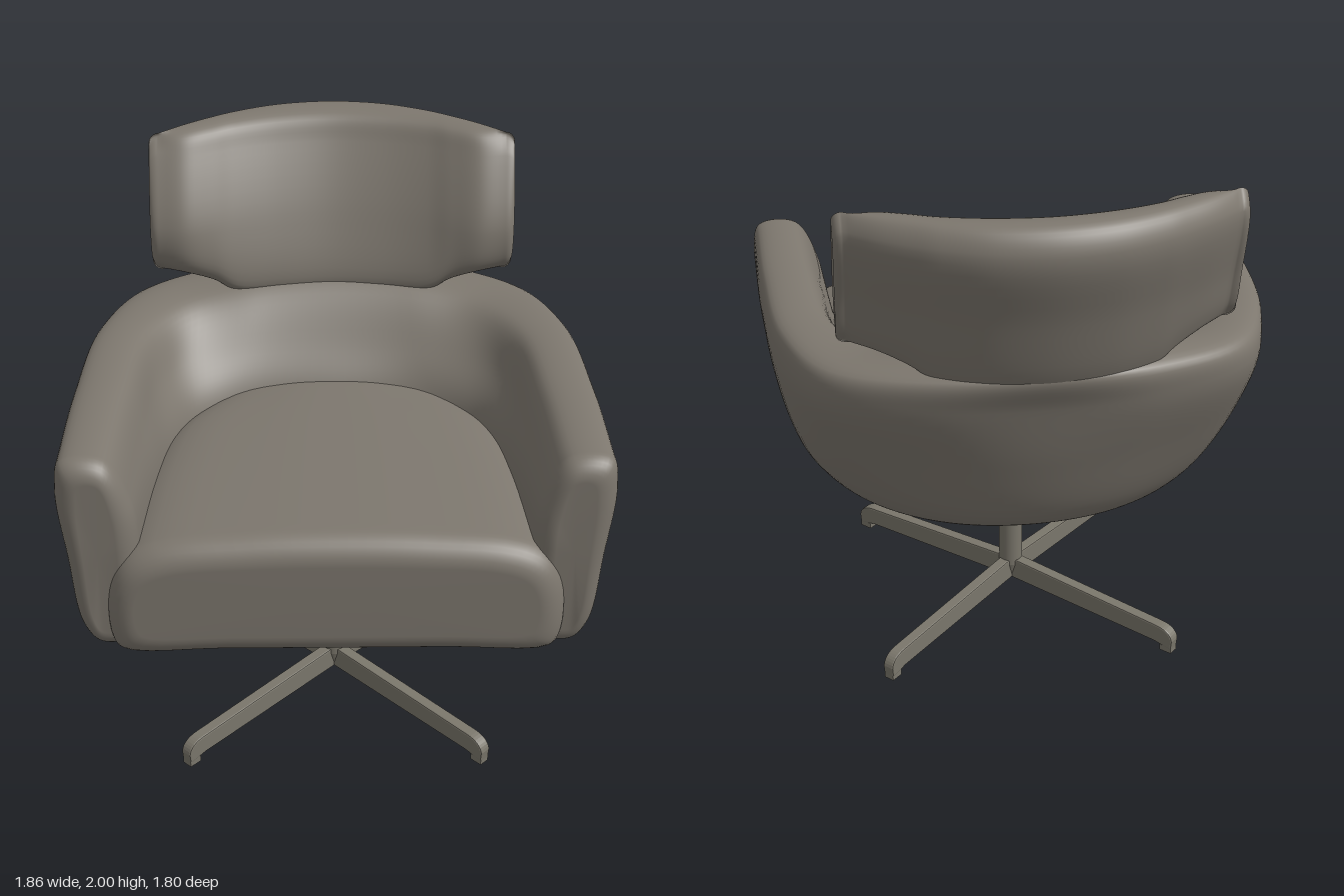
import * as THREE from 'three';

const V = (x, y, z) => new THREE.Vector3(x, y, z);
const AXES = ['x', 'y', 'z'];

// Extra rings that round off the end of a loft along direction dir
function roundEnd(ring, dir, r) {
  const box = new THREE.Box3().setFromPoints(ring);
  const c = box.getCenter(V(0, 0, 0));
  const h = box.getSize(V(0, 0, 0)).multiplyScalar(0.5);
  const rings = [];
  for (let i = 1; i <= 8; i++) {
    const a = (i / 8) * Math.PI / 2;
    rings.push(ring.map(p => {
      const q = p.clone();
      for (const k of AXES) {
        if (dir[k] === 0) q[k] = c[k] + (p[k] - c[k]) * (h[k] - r * (1 - Math.cos(a))) / h[k];
      }
      return q.addScaledVector(dir, r * Math.sin(a));
    }));
  }
  return rings;
}

// Smooth closed surface through lengthwise guide lines, with rounded, capped ends
function loft(guides, nU, nV, r, startDir, endDir) {
  const curves = guides.map(g => new THREE.CatmullRomCurve3(g));
  let rings = [];
  for (let i = 0; i <= nU; i++) {
    const section = new THREE.CatmullRomCurve3(curves.map(c => c.getPoint(i / nU)), true);
    rings.push(Array.from({ length: nV }, (_, j) => section.getPoint(j / nV)));
  }
  rings = [
    ...roundEnd(rings[0], startDir, r).reverse(),
    ...rings,
    ...roundEnd(rings[nU], endDir, r),
  ];
  const pts = rings.flat();
  const index = [];
  const last = rings.length - 1;
  for (let i = 0; i < last; i++) {
    for (let j = 0; j < nV; j++) {
      const k = (j + 1) % nV;
      const a = i * nV + j, b = i * nV + k, c = a + nV, d = b + nV;
      index.push(a, b, c, b, d, c);
    }
  }
  for (const [row, flip] of [[0, false], [last, true]]) {
    const mid = rings[row].reduce((s, p) => s.add(p), V(0, 0, 0)).divideScalar(nV);
    const m = pts.push(mid) - 1;
    for (let j = 0; j < nV; j++) {
      const a = row * nV + j, b = row * nV + (j + 1) % nV;
      index.push(m, ...(flip ? [a, b] : [b, a]));
    }
  }
  // Turn the faces outward if the enclosed volume is negative
  let volume = 0;
  for (let i = 0; i < index.length; i += 3) {
    const [a, b, c] = [pts[index[i]], pts[index[i + 1]], pts[index[i + 2]]];
    volume += a.dot(b.clone().cross(c));
  }
  if (volume < 0) index.reverse();
  const geo = new THREE.BufferGeometry().setFromPoints(pts);
  geo.setIndex(index);
  geo.computeVertexNormals();
  return geo;
}

// Half plan line (back centre to arm front) mirrored to a full U
function mirrored(half) {
  return [...half.slice(1).reverse().map(([x, z]) => [-x, z]), ...half];
}

// Shell lines: height, then x, z from the back centre to the arm front
const BOTTOM = [[0, -0.40], [0.29, -0.35], [0.52, -0.2], [0.685, 0.05], [0.775, 0.4], [0.81, 0.75]];
const SHELL = [
  [0.637, BOTTOM],
  [0.72, [[0, -0.50], [0.33, -0.44], [0.58, -0.28], [0.75, -0.01], [0.83, 0.38], [0.87, 0.76]]],
  [1.0, [[0, -0.62], [0.39, -0.56], [0.68, -0.41], [0.835, -0.14], [0.89, 0.33], [0.905, 0.77]]],
  [1.27, [[0, -0.70], [0.41, -0.66], [0.74, -0.5], [0.875, -0.19], [0.92, 0.3], [0.93, 0.77]]],
  [1.373, [[0, -0.74], [0.38, -0.67], [0.71, -0.5], [0.85, -0.19], [0.895, 0.3], [0.905, 0.77]]],
  [1.373, [[0, -0.48], [0.3, -0.45], [0.55, -0.36], [0.69, -0.14], [0.74, 0.3], [0.76, 0.77]]],
  [1.22, [[0, -0.30], [0.31, -0.27], [0.53, -0.18], [0.63, -0.02], [0.665, 0.33], [0.68, 0.77]]],
  [1.06, [[0, -0.19], [0.34, -0.165], [0.5, -0.06], [0.585, 0.1], [0.63, 0.38], [0.66, 0.77]]],
  [0.66, [[0, -0.15], [0.28, -0.13], [0.46, -0.05], [0.57, 0.1], [0.66, 0.4], [0.69, 0.75]]],
];

function shellGeometry() {
  // The top rim rises a little toward the headrest
  const rise = (x, y) => y > 1.3 ? 0.04 * Math.exp(-((x / 0.4) ** 4)) : 0;
  const guides = SHELL.map(([y, half]) => mirrored(half).map(([x, z]) => V(x, y + rise(x, y), z)));
  return loft(guides, 80, 72, 0.075, V(0, 0, 1), V(0, 0, 1));
}

// Seat cushion: domed section, widening toward the front
function cushionGeometry() {
  const half = [[0.5, 0.645], [0.96, 0.648], [1, 0.7], [1, 0.9], [0.94, 1.01], [0.8, 1.072], [0.4, 1.105]];
  const section = [...half, [0, 1.113], ...half.map(([x, y]) => [-x, y]).reverse()];
  const stations = [[-0.2, 0.48], [0, 0.64], [0.3, 0.72], [0.6, 0.755], [0.8, 0.77]];
  const guides = section.map(([s, y]) => stations.map(([z, w]) => V(s * w, y, z)));
  return loft(guides, 24, 72, 0.095, V(0, 0, -1), V(0, 0, 1));
}

// Headrest: curved pad whose middle runs down into the shell as a neck
function headrestGeometry() {
  // x, back shift, front shift, bottom height
  const half = [[0, 0, 0, 1.36], [0.2, 0.025, 0.015, 1.36], [0.36, 0.085, 0.045, 1.37],
    [0.45, 0.135, 0.075, 1.425], [0.55, 0.2, 0.095, 1.46], [0.65, 0.28, 0.065, 1.468]];
  const full = [...half.slice(1).reverse().map(([x, ...s]) => [-x, ...s]), ...half];
  const sections = full.map(([x, b, f, yb]) => {
    const t2 = (x / 0.65) ** 2;
    const top = 1.997 - 0.02 * t2;
    const back = y => -0.735 + b - 0.3 * (y - 1.36);
    const front = y => -0.47 + f - (0.46 - 0.2 * t2) * (y - 1.45);
    const lo = yb + 0.05;
    return [
      [lo, back(lo)], [1.65, back(1.65) - 0.005], [1.91, back(1.91)],
      [top, back(1.91) + 0.05], [top - 0.012, front(1.9) - 0.055], [1.9, front(1.9)],
      [1.65, front(1.65) + 0.015 + 0.035 * t2], [lo, front(lo) - 0.02 + 0.02 * t2],
      [yb, front(lo) - 0.055], [yb, back(lo) + 0.035],
    ].map(([y, z]) => V(x, y, z));
  });
  const guides = sections[0].map((_, i) => sections.map(s => s[i]));
  return loft(guides, 60, 64, 0.035, V(-1, 0, 0), V(1, 0, 0));
}

export function createModel() {
  const upholstery = new THREE.MeshStandardMaterial({ color: 0x7d776e });
  upholstery.name = 'warm grey upholstery';
  const metal = new THREE.MeshStandardMaterial({ color: 0x7a766b });
  metal.name = 'grey metal';

  const model = new THREE.Group();
  model.name = 'swivelArmchair';
  const add = (parent, name, geo, mat) => {
    const mesh = new THREE.Mesh(geo, mat);
    mesh.name = name;
    parent.add(mesh);
    return mesh;
  };

  add(model, 'shell', shellGeometry(), upholstery);
  add(model, 'seatCushion', cushionGeometry(), upholstery);
  add(model, 'headrest', headrestGeometry(), upholstery);

  // Flat panel closing the underside
  const outline = new THREE.Shape();
  const edge = mirrored(BOTTOM).map(([x, z]) => new THREE.Vector2(x, -z));
  outline.moveTo(edge[0].x, edge[0].y);
  outline.splineThru(edge.slice(1));
  outline.closePath();
  const panelGeo = new THREE.ExtrudeGeometry(outline, { depth: 0.03, bevelEnabled: false, curveSegments: 48 });
  add(model, 'undersidePanel', panelGeo.rotateX(-Math.PI / 2).translate(0, 0.63, 0), upholstery);

  // Swivel base
  const base = new THREE.Group();
  base.name = 'swivelBase';
  base.position.z = 0.14;
  model.add(base);
  const column = add(base, 'column', new THREE.CylinderGeometry(0.048, 0.046, 0.53, 32), metal);
  column.position.y = 0.385;
  const hub = add(base, 'hub', new THREE.CylinderGeometry(0.046, 0.03, 0.06, 32), metal);
  hub.position.y = 0.09;

  // Four diagonal legs with small floor pads
  const side = new THREE.Shape();
  side.moveTo(0, 0.06);
  side.lineTo(0.7, 0.036);
  side.lineTo(0.77, 0.024);
  side.lineTo(0.773, 0.055);
  side.quadraticCurveTo(0.765, 0.097, 0.705, 0.1);
  side.lineTo(0, 0.138);
  side.closePath();
  const legGeo = new THREE.ExtrudeGeometry(side, {
    depth: 0.034, bevelThickness: 0.006, bevelSize: 0.006, bevelSegments: 2, curveSegments: 8,
  }).translate(0, 0, -0.017);
  const padGeo = new THREE.BoxGeometry(0.05, 0.024, 0.04).translate(0.75, 0.012, 0);
  for (let i = 0; i < 4; i++) {
    const leg = new THREE.Group();
    leg.name = 'leg' + (i + 1);
    leg.rotation.y = Math.PI / 4 + i * Math.PI / 2;
    add(leg, 'legBeam', legGeo, metal);
    add(leg, 'floorPad', padGeo, metal);
    base.add(leg);
  }
  return model;
}
